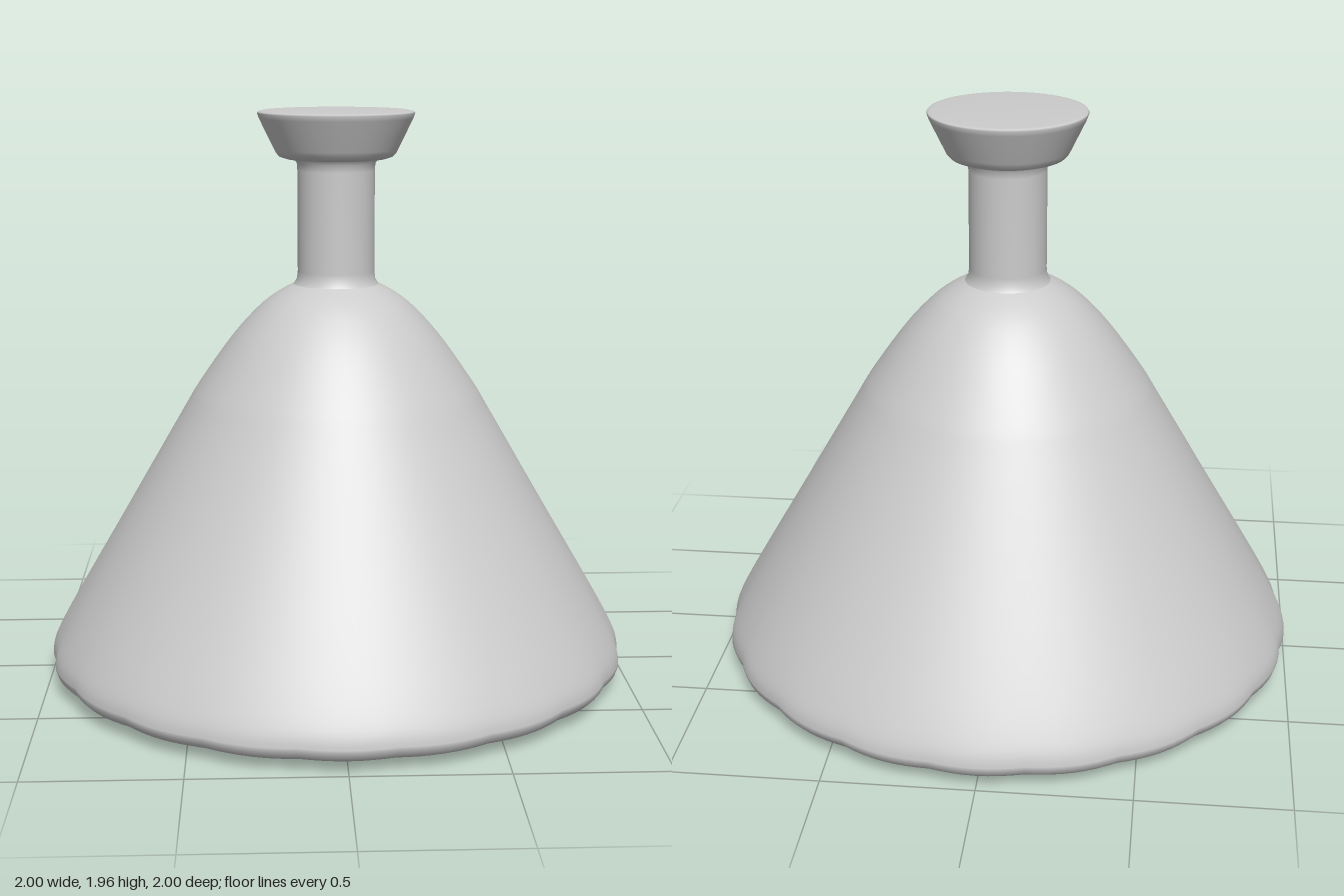
import * as THREE from 'three';

const material = new THREE.MeshStandardMaterial({ color: 0xcccccc, side: THREE.DoubleSide });

// Revolve a profile of [radius, height] pairs, listed from bottom to top
function turned(name, profile, segments = 80) {
  const points = profile.map(([r, y]) => new THREE.Vector2(r, y));
  const mesh = new THREE.Mesh(new THREE.LatheGeometry(points, segments), material);
  mesh.name = name;
  return mesh;
}

// Slight 20-sided waviness of the foot, fading out up the cone
function scallop(geometry) {
  const p = geometry.attributes.position;
  for (let i = 0; i < p.count; i++) {
    const x = p.getX(i), y = p.getY(i), z = p.getZ(i);
    const fade = Math.max(0, 1 - y / 0.7);
    const lobe = 1 - Math.abs(Math.cos(10 * Math.atan2(z, x)));
    const k = 1 - 0.013 * fade * lobe;
    p.setXYZ(i, x * k, y, z * k);
  }
}

export function createModel() {
  const flask = new THREE.Group();
  flask.name = 'flask';

  // Conical body with a rounded shoulder and a rolled foot
  const side = new THREE.SplineCurve([
    [1, 0.075], [0.99, 0.12], [0.95, 0.2], [0.87, 0.34], [0.715, 0.605], [0.53, 0.925], [0.47, 1.025],
    [0.36, 1.18], [0.27, 1.28], [0.2, 1.335], [0.125, 1.375],
  ].map(([r, y]) => new THREE.Vector2(r, y))).getPoints(40).map((v) => [v.x, v.y]);
  const body = turned('body', [
    [0, 0], [0.5, 0.006], [0.8, 0.014], [0.9, 0.02], [0.95, 0.028], [0.98, 0.042], [0.994, 0.057], ...side,
  ], 160);
  scallop(body.geometry);

  // Straight neck, flaring slightly at both ends
  const neck = turned('neck', [
    [0.145, 1.365], [0.134, 1.382], [0.131, 1.41], [0.131, 1.75], [0.133, 1.775], [0.145, 1.79],
  ]);

  // Flared stopper with softened edges and a flat top
  const stopper = turned('stopper', [
    [0, 1.787], [0.13, 1.787], [0.17, 1.79], [0.192, 1.797], [0.204, 1.81], [0.21, 1.822],
    [0.26, 1.925], [0.266, 1.942], [0.263, 1.947], [0.25, 1.95], [0.12, 1.955], [0, 1.955],
  ]);

  flask.add(body, neck, stopper);
  return flask;
}
